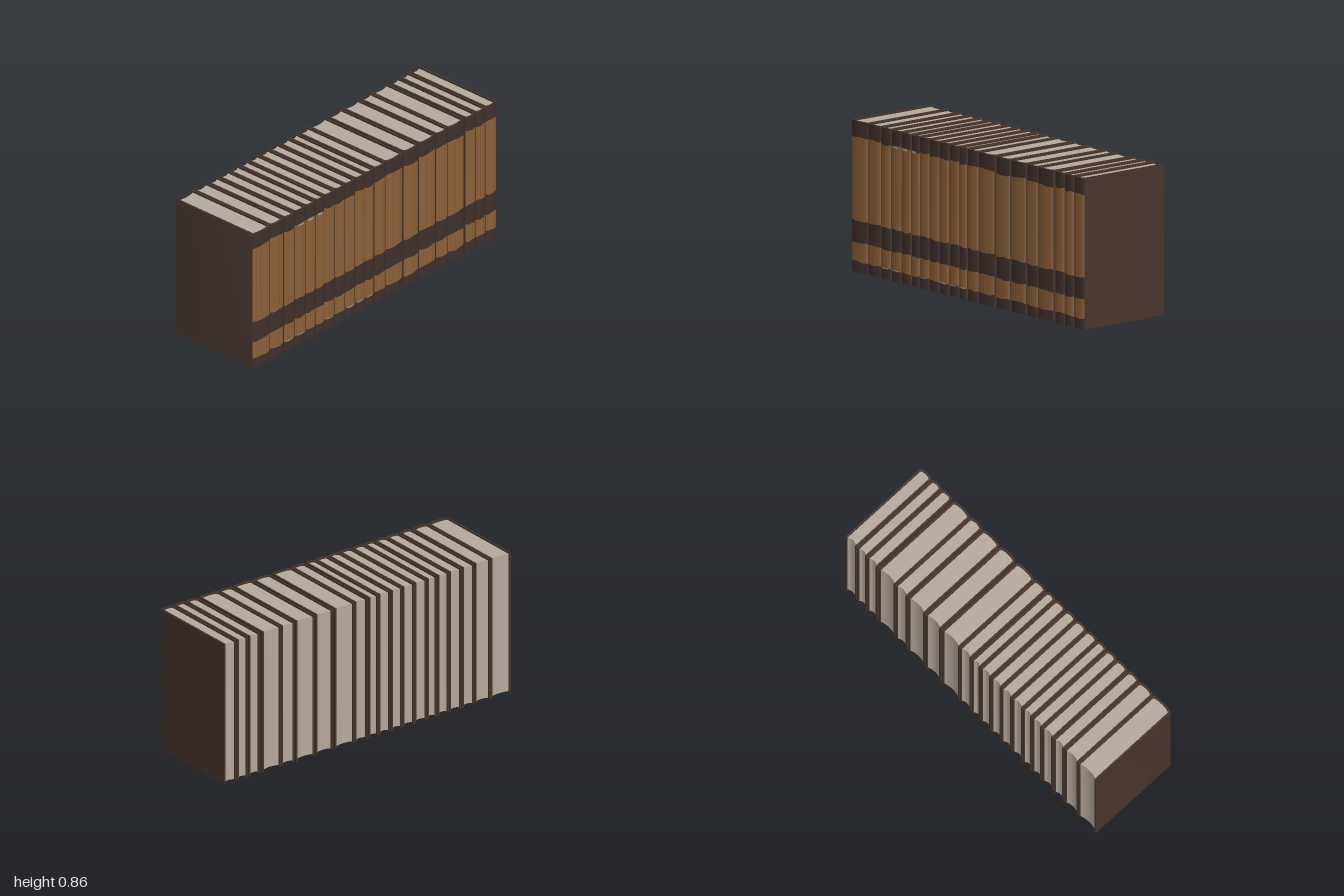
import * as THREE from 'three';
import { toCreasedNormals } from 'three/addons/utils/BufferGeometryUtils.js';

const H = 0.86, BACK = -0.295, EDGE = 0.279, BULGE = 0.0145, COVER = 0.01, RECESS = 0.01;

// left and right edge of every book in the row
const BOOKS = [
  [-1, -0.861], [-0.856, -0.751], [-0.743, -0.663], [-0.655, -0.572], [-0.567, -0.492],
  [-0.484, -0.417], [-0.412, -0.332], [-0.326, -0.246], [-0.241, -0.166], [-0.158, -0.08],
  [-0.075, -0.011], [0, 0.086], [0.091, 0.227], [0.241, 0.358], [0.369, 0.497],
  [0.508, 0.599], [0.604, 0.733], [0.749, 0.826], [0.834, 0.906], [0.914, 1],
];

const mat = (name, color, side = THREE.FrontSide) => {
  const m = new THREE.MeshStandardMaterial({ color, side });
  m.name = name;
  return m;
};

// points on the rounded spine, from right to left, with half width w
function arc(w, edge, bulge, n = 12) {
  return Array.from({ length: n + 1 }, (_, i) => {
    const t = Math.PI / 2 - (Math.PI * i) / n;
    return [w * Math.sin(t), edge + bulge * Math.pow(Math.max(Math.cos(t), 0), 0.8)];
  });
}

// upright prism over an outline of [x, z] points
function prism(points, y0, y1) {
  const shape = new THREE.Shape(points.map(([x, z]) => new THREE.Vector2(x, -z)));
  const g = new THREE.ExtrudeGeometry(shape, { depth: y1 - y0, bevelEnabled: false });
  g.rotateX(-Math.PI / 2).translate(0, y0, 0);
  return toCreasedNormals(g, 0.6);
}

// thin curved skin on the spine, between angles a..b, with uneven upper and lower edges
function spineSkin(w, a, b, y0, y1, lift, wobble, seed) {
  const g = new THREE.PlaneGeometry(1, 1, 12, 1);
  const p = g.attributes.position;
  for (let i = 0; i < p.count; i++) {
    const t = a + (b - a) * (p.getX(i) + 0.5);
    const top = p.getY(i) > 0;
    const wave = wobble * (Math.sin(t * 2.1 + seed * 1.7 + (top ? 1 : 4)) + 0.4 * Math.sin(t * 5 + seed));
    p.setXYZ(i, (w + lift * 0.4) * Math.sin(t), (top ? y1 : y0) + wave,
      EDGE + lift + BULGE * Math.pow(Math.max(Math.cos(t), 0), 0.8));
  }
  g.computeVertexNormals();
  return g;
}

export function createModel() {
  const model = new THREE.Group();
  model.name = 'bookRow';
  const coverMat = mat('dark brown cover', 0x46342c);
  const bandMat = mat('dark spine band', 0x3e2f2b, THREE.DoubleSide);
  const leatherMat = mat('tan leather', 0x8c6039, THREE.DoubleSide);
  const grainMat = mat('leather grain', 0x7c5431, THREE.DoubleSide);
  const pageMat = mat('paper', 0xb5a99d);
  const fleckMat = mat('worn fleck', 0xa89c90, THREE.DoubleSide);

  BOOKS.forEach(([x0, x1], k) => {
    const book = new THREE.Group();
    book.name = 'book' + (k + 1);
    book.position.x = (x0 + x1) / 2;
    const w = (x1 - x0) / 2, wi = w - COVER;
    const add = (name, geo, m) => {
      const mesh = new THREE.Mesh(geo, m);
      mesh.name = name;
      book.add(mesh);
    };

    // U-shaped binding: two boards joined by the rounded spine
    const inner = arc(wi, EDGE - COVER, BULGE).reverse();
    add('cover', prism([[w, BACK], ...arc(w, EDGE, BULGE), [-w, BACK], [-wi, BACK],
      ...inner, [wi, BACK]], 0, H), coverMat);

    // page block with a hollow fore-edge
    const hollow = Array.from({ length: 9 }, (_, i) => {
      const u = -1 + i / 4;
      return [u * wi, BACK + 0.008 + 0.01 * (1 - u * u)];
    });
    add('pages', prism([...arc(wi, EDGE - COVER, BULGE), ...hollow], RECESS, H - RECESS), pageMat);

    // dark bands and tan panels of the spine
    const e = Math.PI / 2 - 0.12;
    add('spineBand', spineSkin(w, -e, e, 0.001, H - 0.001, 0.0006, 0, k), bandMat);
    const dip = 0.005 * Math.sin(k * 2.3);
    const panels = [[0.295 + dip * 0.4, 0.768 + dip], [0.062 + dip * 0.4, 0.17 + dip * 0.4]];
    panels.forEach(([y0, y1], j) => {
      add('spinePanel', spineSkin(w, -e, e, y0, y1, 0.0014, 0.003, k + j * 3), leatherMat);
      // fine vertical grain
      for (let s = 0; s < 3; s++) {
        const t = -0.85 + s * 0.75 + 0.25 * Math.sin(k * 3.1 + s * 5 + j);
        add('grain', spineSkin(w, t, t + 0.07, y0 + 0.008, y1 - 0.008, 0.0019, 0, k), grainMat);
      }
    });

    // worn flecks along some band edges
    if ([3, 4, 5].includes(k))
      add('fleck', spineSkin(w, -0.7, 0.5, 0.759, 0.771, 0.0022, 0.002, k), fleckMat);
    if ([2, 3, 6, 8, 9, 10].includes(k))
      add('fleck', spineSkin(w, -0.8, 0.7, 0.06, 0.066, 0.0022, 0.001, k), fleckMat);
    model.add(book);
  });
  return model;
}
